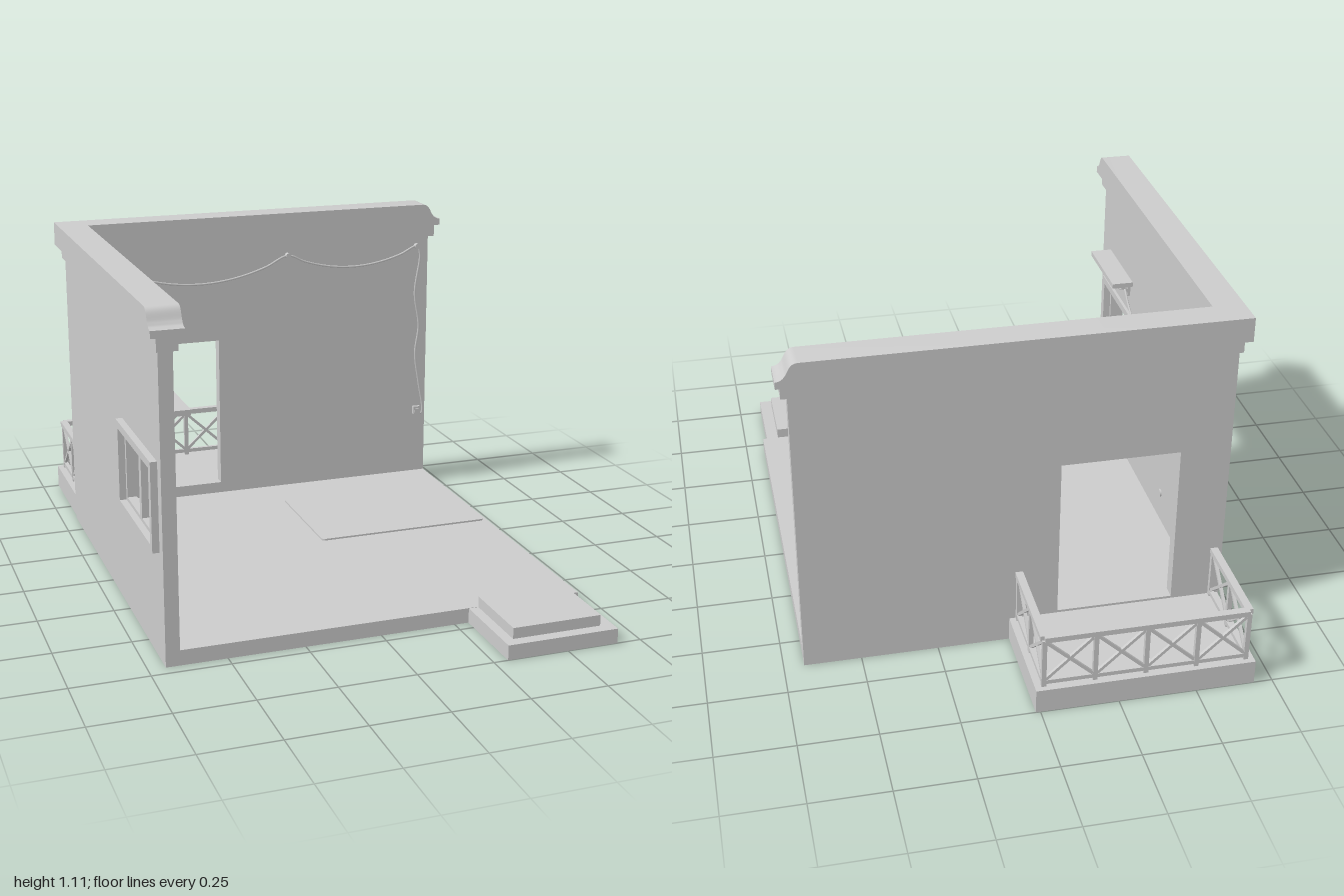
import * as THREE from 'three';
import { toCreasedNormals } from 'three/addons/utils/BufferGeometryUtils.js';

const grey = new THREE.MeshStandardMaterial({ color: 0xcccccc });
const thin = new THREE.MeshStandardMaterial({ color: 0xcccccc, side: THREE.DoubleSide });

const V = (x, y, z) => new THREE.Vector3(x, y, z);

function add(parent, name, geometry, material = grey) {
  const mesh = new THREE.Mesh(geometry, material);
  mesh.name = name;
  parent.add(mesh);
  return mesh;
}

// Box given by its limits on each axis
function box(parent, name, x0, x1, y0, y1, z0, z1) {
  const mesh = add(parent, name, new THREE.BoxGeometry(x1 - x0, y1 - y0, z1 - z0));
  mesh.position.set((x0 + x1) / 2, (y0 + y1) / 2, (z0 + z1) / 2);
  return mesh;
}

// Box without its underside
function openBox(parent, name, ...limits) {
  const mesh = box(parent, name, ...limits);
  const index = Array.from(mesh.geometry.index.array);
  index.splice(18, 6);
  mesh.geometry.setIndex(index);
  mesh.geometry.clearGroups();
  mesh.material = thin;
  return mesh;
}

// Square bar between two points
function beam(parent, name, a, b, width, height = width) {
  const mesh = add(parent, name, new THREE.BoxGeometry(width, height, a.distanceTo(b)));
  mesh.position.copy(a).add(b).multiplyScalar(0.5);
  mesh.lookAt(b);
  return mesh;
}

// Rectangle with rectangular holes, each [u0, u1, v0, v1]
function panelShape([u0, u1, v0, v1], holes = []) {
  const rect = (p, a, b, c, d) => p.moveTo(a, c).lineTo(b, c).lineTo(b, d).lineTo(a, d).closePath();
  const shape = rect(new THREE.Shape(), u0, u1, v0, v1);
  holes.forEach((h) => shape.holes.push(rect(new THREE.Path(), ...h)));
  return shape;
}

function extrude(shape, depth) {
  const g = new THREE.ExtrudeGeometry(shape, { depth, bevelEnabled: false, curveSegments: 12 });
  return toCreasedNormals(g, 0.6);
}

// Extrusion lying along the side wall: shape u is z, x runs from x1 down to x0
function sideExtrude(parent, name, shape, x0, x1) {
  const mesh = add(parent, name, extrude(shape, x1 - x0));
  mesh.rotation.y = -Math.PI / 2;
  mesh.position.x = x1;
  return mesh;
}

// Coping slab with one curved end
function copingShape(start, end) {
  return new THREE.Shape()
    .moveTo(start, 1.03)
    .lineTo(end, 1.03)
    .lineTo(end, 1.053)
    .bezierCurveTo(end - 0.045, 1.056, end - 0.03, 1.11, end - 0.07, 1.11)
    .lineTo(start, 1.11)
    .closePath();
}

function cord(parent, name, points, radius = 0.004) {
  const curve = new THREE.CatmullRomCurve3(points);
  add(parent, name, new THREE.TubeGeometry(curve, points.length * 8, radius, 6));
}

// Points of a cord sagging between two hooks
function sag(a, b, drop) {
  return Array.from({ length: 8 }, (_, i) => {
    const t = i / 8;
    const p = a.clone().lerp(b, t);
    p.y -= drop * 4 * t * (1 - t);
    return p;
  });
}

// Railing run with posts, rails and crossed braces
function railing(parent, a, b, bays) {
  const at = (t, y) => a.clone().lerp(b, t).setY(y);
  beam(parent, 'topRail', at(0, 0.261), at(1, 0.261), 0.025, 0.018);
  beam(parent, 'bottomRail', at(0, 0.098), at(1, 0.098), 0.014);
  for (let i = 0; i <= bays; i++) {
    beam(parent, 'railPost', at(i / bays, 0.08), at(i / bays, 0.255), 0.015);
    if (i === bays) break;
    const t0 = i / bays, t1 = (i + 1) / bays;
    beam(parent, 'crossBrace', at(t0, 0.1), at(t1, 0.252), 0.01);
    beam(parent, 'crossBrace', at(t0, 0.252), at(t1, 0.1), 0.01);
  }
}

function createShell(room) {
  openBox(room, 'floor', -0.695, 0.685, 0, 0.05, -0.628, 0.71);

  // Walls with window and door openings
  const sideWall = panelShape([-0.628, 0.71, 0.05, 0.985], [[0.245, 0.645, 0.375, 0.615]]);
  sideExtrude(room, 'sideWall', sideWall, -0.695, -0.65);
  const backWall = panelShape([-0.65, 0.685, 0.05, 0.985], [[-0.53, -0.145, 0.09, 0.645]]);
  add(room, 'backWall', extrude(backWall, 0.043)).position.z = -0.628;

  // Cornice band and coping
  box(room, 'sideBand', -0.705, -0.64, 0.985, 1.03, -0.638, 0.735);
  box(room, 'backBand', -0.64, 0.705, 0.985, 1.03, -0.638, -0.575);
  sideExtrude(room, 'sideCoping', copingShape(-0.657, 0.75), -0.725, -0.623);
  add(room, 'backCoping', extrude(copingShape(-0.623, 0.72), 0.1)).position.z = -0.657;
}

function createWindow(room) {
  const frame = panelShape([0.22, 0.67, 0.355, 0.64], [[0.245, 0.645, 0.375, 0.615]]);
  sideExtrude(room, 'windowFrame', frame, -0.717, -0.64);
  const sash = panelShape([0.245, 0.645, 0.375, 0.615],
    [[0.26, 0.43, 0.387, 0.602], [0.457, 0.633, 0.387, 0.602]]);
  sideExtrude(room, 'windowSash', sash, -0.695, -0.665);
}

function createShelf(room, z0, z1, y0, y1, x1, hooks, foot) {
  const shelf = new THREE.Group();
  shelf.name = 'wallShelf';
  room.add(shelf);
  box(shelf, 'shelfBoard', -0.65, x1, y0, y1, z0, z1);
  hooks.forEach((z) => {
    box(shelf, 'bracketPlate', -0.65, -0.64, foot, y0, z - 0.009, z + 0.009);
    beam(shelf, 'bracketStrut', V(-0.645, foot + 0.015, z), V(x1 - 0.03, y0, z), 0.016, 0.01);
  });
}

export function createModel() {
  const room = new THREE.Group();
  room.name = 'cutawayRoom';
  createShell(room);
  createWindow(room);

  // Shelves and the cord strung between their brackets
  createShelf(room, 0.325, 0.615, 0.753, 0.77, -0.575, [0.577, 0.36], 0.705);
  createShelf(room, -0.425, -0.028, 0.757, 0.78, -0.545, [-0.085, -0.362], 0.692);
  const hooks = [0.577, 0.36, -0.085, -0.362].map((z) => V(-0.63, 0.733, z));
  cord(room, 'shelfCord', [
    ...sag(hooks[0], hooks[1], 0.035),
    ...sag(hooks[1], hooks[2], 0.088),
    ...sag(hooks[2], hooks[3], 0.045),
    hooks[3],
  ]);

  // Small wall fittings
  box(room, 'wallPanel', -0.65, -0.646, 0.36, 0.5, -0.19, 0.005);
  const socket = add(room, 'wallSocket', new THREE.CylinderGeometry(0.014, 0.014, 0.006, 12));
  socket.rotation.z = Math.PI / 2;
  socket.position.set(-0.647, 0.155, -0.12);

  // Cord along the back wall, dropping to a switch box
  const zc = -0.576;
  const pins = [V(-0.553, 0.948, zc), V(0.123, 0.948, zc), V(0.637, 0.95, zc)];
  cord(room, 'backWallCord', [
    ...sag(pins[0], pins[1], 0.084),
    ...sag(pins[1], pins[2], 0.06),
    pins[2],
    V(0.65, 0.92, zc), V(0.632, 0.77, zc), V(0.65, 0.64, zc), V(0.638, 0.53, zc),
    V(0.655, 0.41, zc), V(0.672, 0.31, zc), V(0.668, 0.285, zc), V(0.65, 0.295, zc),
  ]);
  pins.forEach((p) => {
    const pin = add(room, 'cordPin', new THREE.CylinderGeometry(0.01, 0.01, 0.018, 8));
    pin.rotation.x = Math.PI / 2;
    pin.position.copy(p);
  });
  box(room, 'switchBox', 0.634, 0.662, 0.285, 0.315, -0.585, -0.572);
  box(room, 'switchButton', 0.64, 0.656, 0.292, 0.308, -0.572, -0.568);

  // Rug with rounded corners
  const rugShape = new THREE.Shape();
  const r = 0.012;
  rugShape.absarc(0.63 - r, 0.32 - r, r, 0, Math.PI / 2);
  rugShape.absarc(0.02 + r, 0.32 - r, r, Math.PI / 2, Math.PI);
  rugShape.absarc(0.02 + r, -0.1 + r, r, Math.PI, Math.PI * 1.5);
  rugShape.absarc(0.63 - r, -0.1 + r, r, Math.PI * 1.5, Math.PI * 2);
  const rug = add(room, 'rug', extrude(rugShape, 0.006));
  rug.rotation.x = -Math.PI / 2;
  rug.position.y = 0.086;

  // Front steps
  openBox(room, 'lowerStep', 0.297, 0.67, 0, 0.049, 0.71, 1);
  box(room, 'upperStep', 0.33, 0.628, 0.049, 0.085, 0.71, 0.962);

  // Balcony behind the door
  const balcony = new THREE.Group();
  balcony.name = 'balcony';
  room.add(balcony);
  openBox(balcony, 'balconyFloor', -0.69, 0.015, 0, 0.082, -1, -0.628);
  const [xl, xr, zb] = [-0.663, -0.013, -0.975];
  railing(balcony, V(xl, 0, zb), V(xr, 0, zb), 4);
  [xl, xr].forEach((x) => railing(balcony, V(x, 0, zb), V(x, 0, -0.638), 2));
  return room;
}
